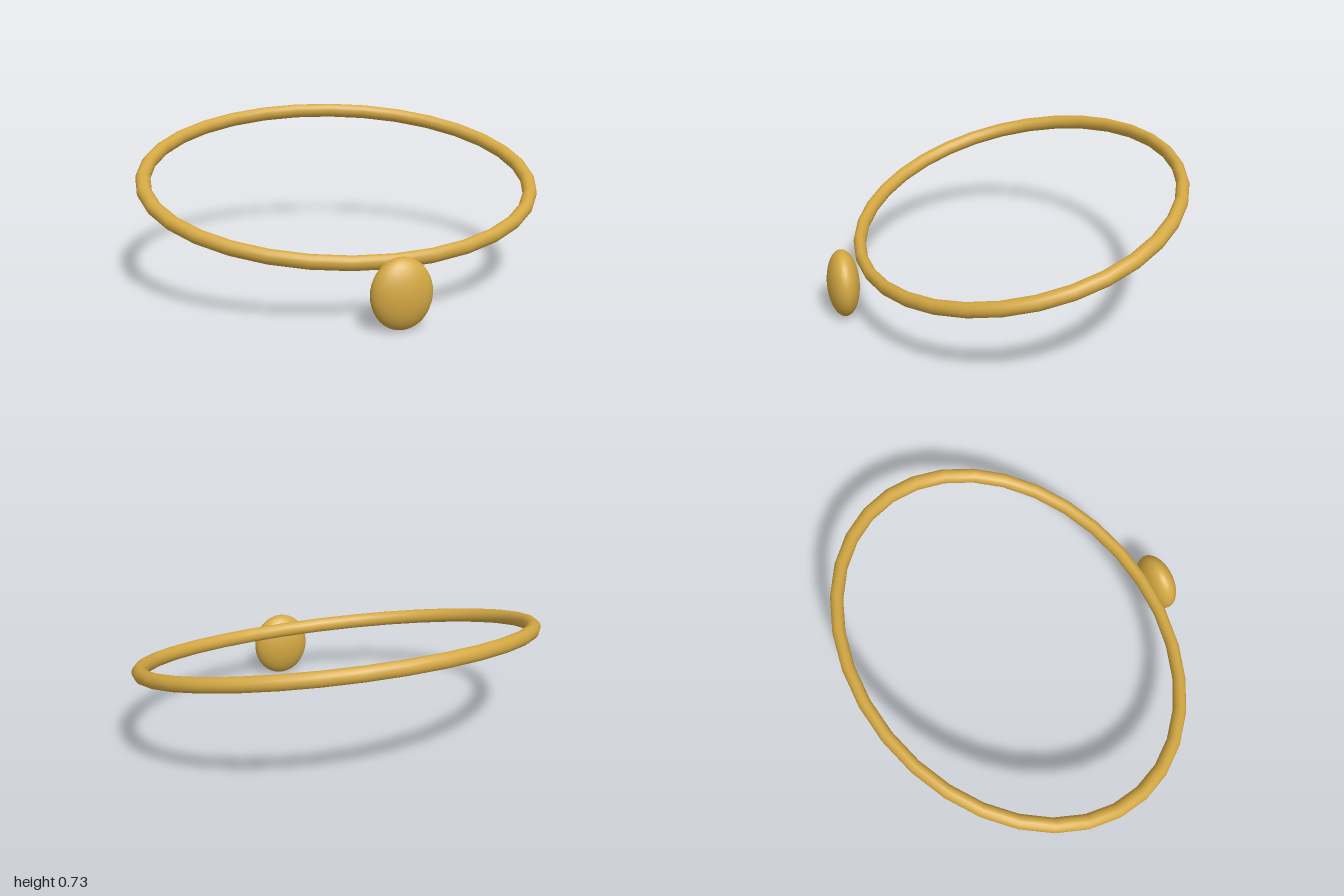
import * as THREE from 'three';

export function createModel() {
  const model = new THREE.Group();
  const gold = new THREE.MeshStandardMaterial({ color: 0xd4a843 });
  gold.name = 'gold';

  // Oval hoop, tilted so its back edge rises
  const hoop = new THREE.Mesh(new THREE.TorusGeometry(0.964, 0.036, 16, 32), gold);
  hoop.name = 'hoop';
  hoop.scale.y = 0.82;
  hoop.rotation.x = -Math.PI / 2 + THREE.MathUtils.degToRad(15);
  hoop.position.set(0, 0.49, -0.072);
  model.add(hoop);

  // Flattened oval pendant hanging at the front
  const pendant = new THREE.Mesh(new THREE.SphereGeometry(1, 32, 20), gold);
  pendant.name = 'pendant';
  pendant.scale.set(0.144, 0.166, 0.078);
  pendant.position.set(0, 0.166, 0.788);
  model.add(pendant);

  return model;
}
